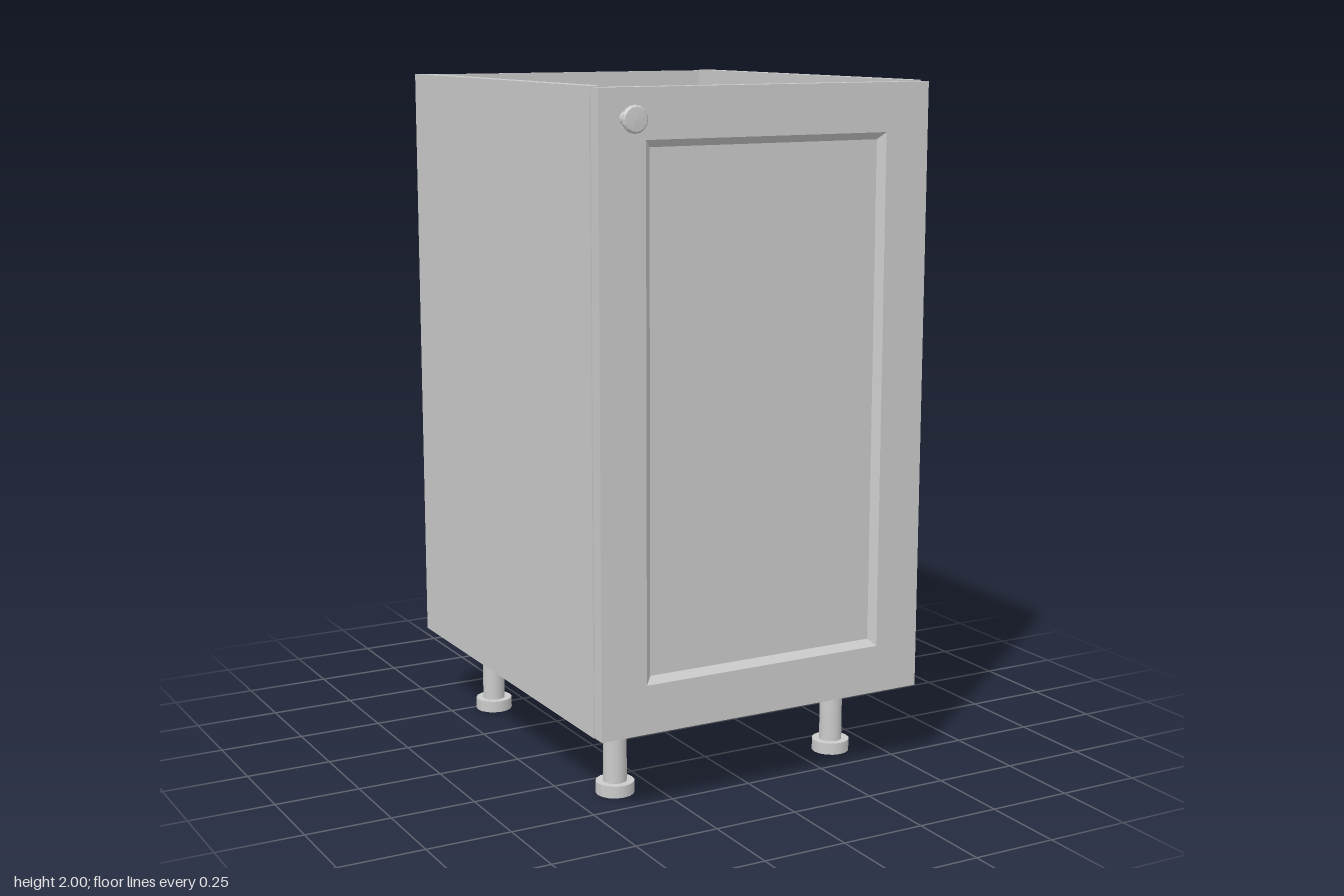
import * as THREE from 'three';

const material = new THREE.MeshStandardMaterial({ color: 0xcccccc });

function add(group, name, geometry, x, y, z) {
  const mesh = new THREE.Mesh(geometry, material);
  mesh.name = name;
  mesh.position.set(x, y, z);
  group.add(mesh);
  return mesh;
}

// Box given by its minimum and maximum corners
function addPanel(group, name, [x0, y0, z0], [x1, y1, z1]) {
  add(group, name, new THREE.BoxGeometry(x1 - x0, y1 - y0, z1 - z0),
    (x0 + x1) / 2, (y0 + y1) / 2, (z0 + z1) / 2);
}

// Joins rectangular rings [halfWidth, bottom, top, z] from back to front, with flat caps
function ringLoft(rings) {
  const corners = rings.map(([w, b, t, z]) => [[-w, b, z], [w, b, z], [w, t, z], [-w, t, z]]);
  const positions = [];
  const quad = (a, b, c, d) => positions.push(...a, ...b, ...c, ...a, ...c, ...d);
  for (let r = 0; r < corners.length - 1; r++) {
    for (let i = 0; i < 4; i++) {
      const j = (i + 1) % 4;
      quad(corners[r][i], corners[r][j], corners[r + 1][j], corners[r + 1][i]);
    }
  }
  quad(...corners[corners.length - 1]);
  quad(...corners[0].slice().reverse());
  const geometry = new THREE.BufferGeometry();
  geometry.setAttribute('position', new THREE.Float32BufferAttribute(positions, 3));
  geometry.computeVertexNormals();
  return geometry;
}

export function createModel() {
  const model = new THREE.Group();
  model.name = 'baseCabinet';

  // Open-topped carcass
  const bottom = 0.24, top = 2, back = -0.64, front = 0.543;
  addPanel(model, 'leftSide', [0.48, bottom, back], [0.52, top, front]);
  addPanel(model, 'rightSide', [-0.52, bottom, back], [-0.48, top, front]);
  addPanel(model, 'bottomPanel', [-0.48, bottom, back], [0.48, bottom + 0.04, front]);
  addPanel(model, 'backPanel', [-0.517, bottom + 0.002, back - 0.006], [0.517, top - 0.002, back]);

  // Door with a sunken, bevel-edged centre
  add(model, 'door', ringLoft([
    [0.517, 0.24, 1.997, 0.545],
    [0.517, 0.24, 1.997, 0.586],
    [0.378, 0.38, 1.86, 0.586],
    [0.358, 0.4, 1.84, 0.568],
  ]), 0, 0, 0);

  // Turned knob
  const profile = [[0, 0], [0.02, 0], [0.02, 0.004], [0.013, 0.012], [0.013, 0.022], [0.02, 0.033],
    [0.034, 0.04], [0.037, 0.045], [0.037, 0.051], [0.032, 0.056], [0, 0.058]]
    .map(([r, h]) => new THREE.Vector2(r, h));
  const knobGeometry = new THREE.LatheGeometry(profile, 16).toNonIndexed();
  knobGeometry.computeVertexNormals();
  add(model, 'knob', knobGeometry, -0.436, 1.917, 0.586).rotation.x = Math.PI / 2;

  // Four legs with wide feet
  const legGeometry = new THREE.CylinderGeometry(0.034, 0.034, bottom - 0.03, 16);
  const footGeometry = new THREE.CylinderGeometry(0.056, 0.056, 0.035, 16);
  for (const x of [-0.366, 0.366]) {
    for (const z of [-0.47, 0.37]) {
      const leg = new THREE.Group();
      leg.name = 'leg';
      leg.position.set(x, 0, z);
      add(leg, 'legPost', legGeometry, 0, (bottom + 0.03) / 2, 0);
      add(leg, 'foot', footGeometry, 0, 0.0175, 0);
      model.add(leg);
    }
  }
  return model;
}
